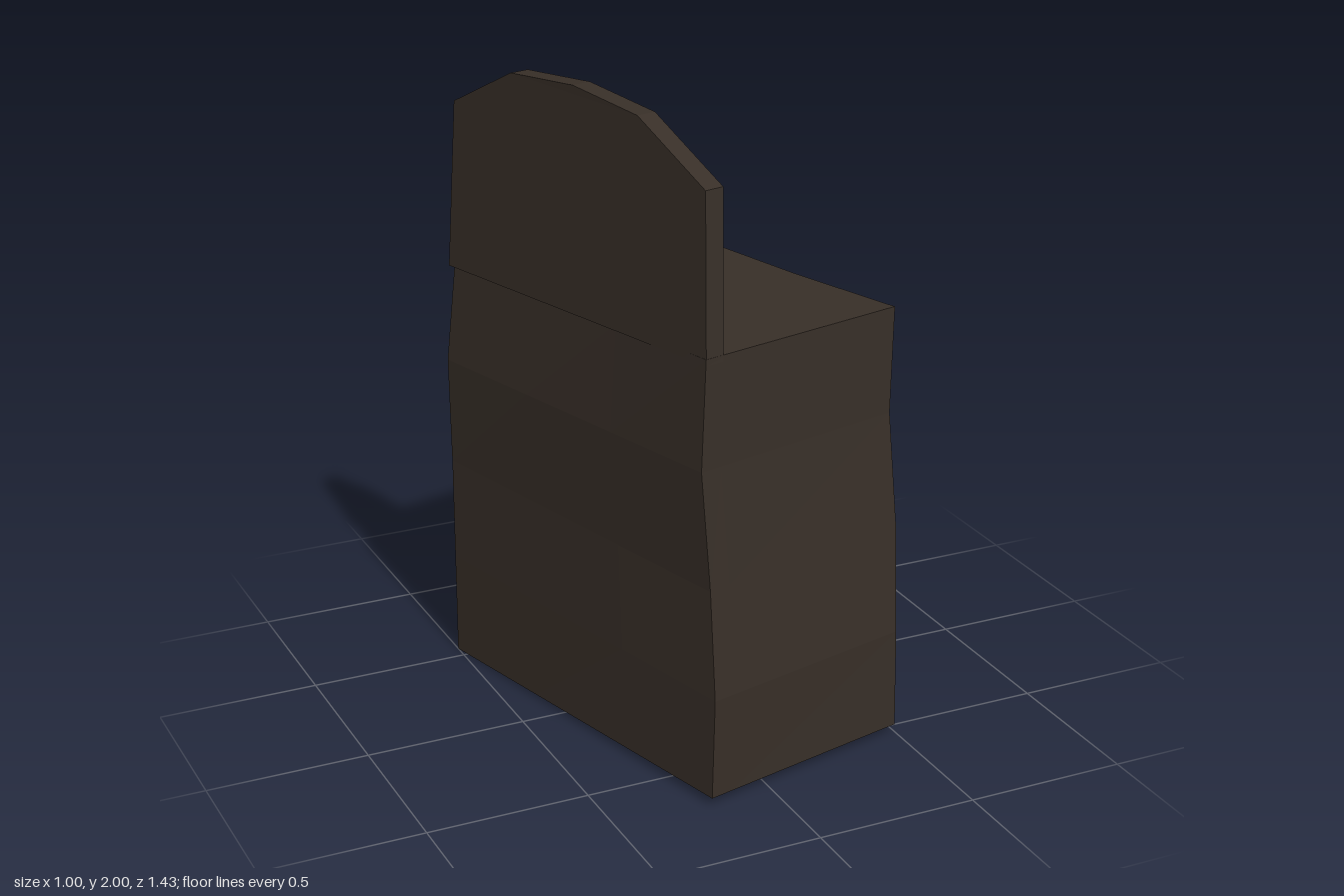
import * as THREE from 'three';

const material = new THREE.MeshStandardMaterial({
  color: 0x382f28, flatShading: true, side: THREE.DoubleSide,
});

// Outer corners [x, y, z] of the crooked box at five heights, bottom to top
const levels = [
  { fl: [-0.2, 0.025, 0.71], fr: [0.5, 0.025, 0.54], br: [0.22, 0, -0.715], bl: [-0.5, 0, -0.55] },
  { fl: [-0.195, 0.34, 0.715], fr: [0.495, 0.34, 0.54], br: [0.22, 0.33, -0.705], bl: [-0.5, 0.33, -0.55] },
  { fl: [-0.195, 0.67, 0.68], fr: [0.5, 0.67, 0.51], br: [0.22, 0.66, -0.69], bl: [-0.5, 0.66, -0.55] },
  { fl: [-0.215, 1.03, 0.66], fr: [0.48, 1.03, 0.485], br: [0.21, 1.0, -0.685], bl: [-0.505, 1.0, -0.55] },
  { fl: [-0.2, 1.36, 0.655], fr: [0.49, 1.355, 0.48], br: [0.225, 1.33, -0.715], bl: [-0.475, 1.325, -0.54] },
];
const vec = (a) => new THREE.Vector3(...a);

// Point on one level: u runs from closed side to opening, v from back to front
function levelPoint(level, u, v) {
  const back = vec(level.bl).lerp(vec(level.br), u);
  const front = vec(level.fl).lerp(vec(level.fr), u);
  const p = back.lerp(front, v);
  p.x -= 0.1 * u * v * (1 - v); // the open rim bows inward
  return p;
}

// Point in the box, h running from bottom to top
function boxPoint(u, h, v) {
  const t = h * (levels.length - 1);
  const i = THREE.MathUtils.clamp(Math.floor(t), 0, levels.length - 2);
  return levelPoint(levels[i], u, v).lerp(levelPoint(levels[i + 1], u, v), t - i);
}

// A panel given as ranges in u, h, v, bent to follow the crooked box
function panel(name, [u0, u1], [h0, h1], [v0, v1], hSegments, vSegments) {
  const geometry = new THREE.BoxGeometry(u1 - u0, h1 - h0, v1 - v0, 1, hSegments, vSegments);
  geometry.translate((u0 + u1) / 2, (h0 + h1) / 2, (v0 + v1) / 2);
  const pos = geometry.attributes.position;
  for (let i = 0; i < pos.count; i++) {
    const p = boxPoint(pos.getX(i), pos.getY(i), pos.getZ(i));
    pos.setXYZ(i, p.x, p.y, p.z);
  }
  geometry.computeVertexNormals();
  const mesh = new THREE.Mesh(geometry, material);
  mesh.name = name;
  return mesh;
}

// Upright board with a faceted arched top, along the closed side
function archedBoard() {
  const outline = [
    [0.655, 1.34], [0.62, 1.83], [0.335, 1.975], [0.05, 2.0],
    [-0.24, 1.975], [-0.525, 1.83], [-0.54, 1.31],
  ];
  const shape = new THREE.Shape(outline.map(([z, y]) => new THREE.Vector2(-z, y)));
  const geometry = new THREE.ExtrudeGeometry(shape, { depth: 0.06, bevelEnabled: false });
  geometry.rotateY(Math.PI / 2);
  // Turn to the box's heading and lean slightly inward towards the top
  const pos = geometry.attributes.position;
  for (let i = 0; i < pos.count; i++) {
    const x = pos.getX(i), y = pos.getY(i), z = pos.getZ(i);
    const lean = -0.02 * Math.max(0, (1.83 - y) / 0.47);
    pos.setXYZ(i, x - 0.33 + 0.246 * (z - 0.04) + lean, y, z - 0.24 * x);
  }
  geometry.computeVertexNormals();
  const mesh = new THREE.Mesh(geometry, material);
  mesh.name = 'archedBoard';
  return mesh;
}

export function createModel() {
  const group = new THREE.Group();
  group.name = 'openBoxWithBoard';
  const side = 0.1, edge = 0.03;
  group.add(
    panel('closedSide', [0, side], [0, 1], [0, 1], 4, 3),
    panel('backWall', [side, 1], [0, 1], [0, edge], 4, 1),
    panel('frontWall', [side, 1], [0, 1], [1 - edge, 1], 4, 1),
    panel('floor', [side, 1], [0, 0.045], [edge, 1 - edge], 1, 3),
    panel('top', [side, 1], [0.978, 1], [edge, 1 - edge], 1, 3),
    archedBoard(),
  );
  return group;
}
